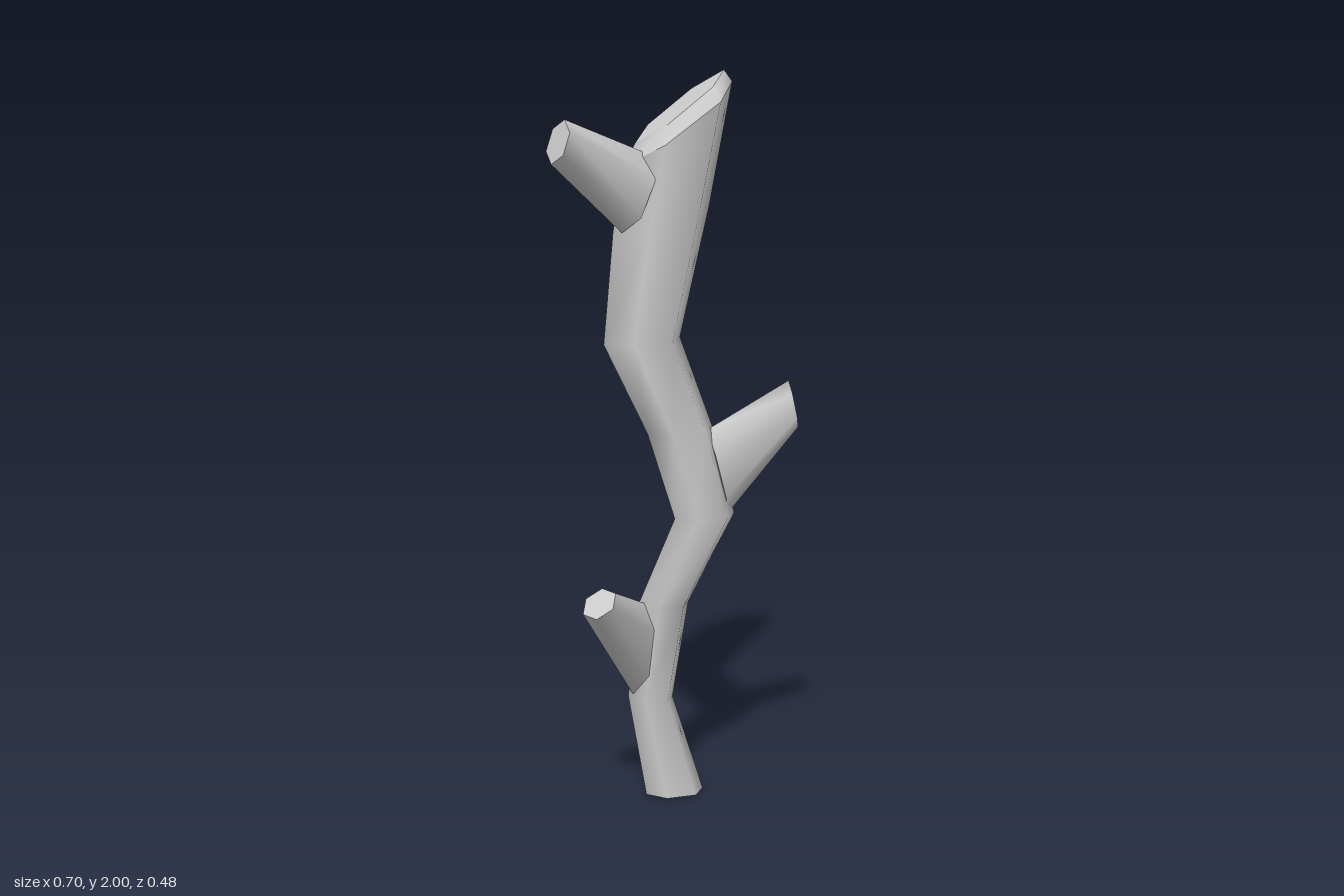
import * as THREE from 'three';

const SIDES = 6;
const V = (a) => new THREE.Vector3(...a);
const material = new THREE.MeshStandardMaterial({ color: 0xcccccc });

// Hexagonal ring; u and v are the half-extent vectors of the section
function ring(center, u, v) {
  return Array.from({ length: SIDES }, (_, i) => {
    const a = (i / SIDES) * Math.PI * 2;
    return center.clone()
      .addScaledVector(u, Math.cos(a))
      .addScaledVector(v, Math.sin(a) / Math.sin(Math.PI / 3));
  });
}

// Smooth skin through rings running counter-clockwise about the growth direction
function skin(rings) {
  const index = [];
  for (let r = 0; r < rings.length - 1; r++) {
    for (let i = 0; i < SIDES; i++) {
      const a = r * SIDES + i, b = r * SIDES + ((i + 1) % SIDES);
      index.push(a, b, b + SIDES, a, b + SIDES, a + SIDES);
    }
  }
  const geo = new THREE.BufferGeometry().setFromPoints(rings.flat());
  geo.setIndex(index);
  geo.computeVertexNormals();
  return geo;
}

// Flat end with a sharp edge
function cap(points, flip) {
  const index = [];
  for (let i = 1; i < SIDES - 1; i++) index.push(0, flip ? i + 1 : i, flip ? i : i + 1);
  const geo = new THREE.BufferGeometry().setFromPoints(points);
  geo.setIndex(index);
  geo.computeVertexNormals();
  return geo;
}

function limb(name, rings) {
  const group = new THREE.Group();
  group.name = name;
  const add = (part, geo) => {
    const mesh = new THREE.Mesh(geo, material);
    mesh.name = part;
    group.add(mesh);
  };
  add(name + 'Bark', skin(rings));
  add(name + 'Base', cap(rings[0], true));
  add(name + 'End', cap(rings[rings.length - 1], false));
  return group;
}

// Trunk section from its left and right corners and its depth range
function trunkRing([x0, y0, x1, y1, z0, z1]) {
  const center = V([(x0 + x1) / 2, (y0 + y1) / 2, (z0 + z1) / 2]);
  return ring(center, V([(x1 - x0) / 2, (y1 - y0) / 2, 0]), V([0, 0, -(z1 - z0) / 2]));
}

// Tapering stub: each end is [upper point, lower point, half width]
function stub(name, base, tip) {
  const mid = ([top, bottom]) => V(top).add(V(bottom)).multiplyScalar(0.5);
  const dir = mid(tip).sub(mid(base)).normalize();
  const rings = [base, tip].map((end) => {
    const u = V(end[0]).sub(V(end[1])).multiplyScalar(0.5);
    const v = dir.clone().cross(u).setLength(end[2]);
    return ring(mid(end), u, v);
  });
  return limb(name, rings);
}

export function createModel() {
  const model = new THREE.Group();
  model.name = 'branch';

  // Crooked main stem, broken off at a slant
  const sections = [
    [-0.055, 0.01, 0.12, 0.0, 0.0, 0.09],
    [-0.10, 0.30, 0.035, 0.28, -0.02, 0.065],
    [-0.08, 0.57, 0.07, 0.56, 0.0, 0.10],
    [0.01, 0.81, 0.19, 0.81, 0.04, 0.14],
    [-0.07, 1.05, 0.12, 1.06, 0.03, 0.15],
    [-0.18, 1.29, 0.04, 1.30, -0.02, 0.13],
    [-0.14, 1.58, 0.14, 1.65, -0.06, 0.11],
    [-0.12, 1.75, 0.195, 1.97, -0.05, 0.138],
  ];
  const stem = sections.map(trunkRing);
  model.add(limb('stem', stem));

  // Shallow bevelled break on top of the stem
  const crown = limb('brokenTop', [
    stem[stem.length - 1],
    trunkRing([-0.085, 1.81, 0.17, 2.0, -0.02, 0.11]),
  ]);
  model.add(crown);

  // Four snapped side twigs
  model.add(stub('lowerTwig',
    [[-0.06, 0.57, 0.055], [-0.085, 0.30, 0.03], 0.042],
    [[-0.215, 0.66, 0.215], [-0.295, 0.605, 0.185], 0.036]));
  model.add(stub('leftTwig',
    [[0.10, 1.05, 0.10], [0.17, 0.81, 0.09], 0.045],
    [[0.315, 1.18, 0.16], [0.345, 1.05, 0.163], 0.02]));
  model.add(stub('backTwig',
    [[0.06, 1.08, 0.06], [0.10, 0.82, 0.06], 0.07],
    [[0.07, 1.16, -0.12], [0.09, 1.13, -0.242], 0.042]));
  model.add(stub('upperTwig',
    [[-0.05, 1.78, 0.07], [-0.125, 1.58, 0.05], 0.055],
    [[-0.315, 1.87, 0.14], [-0.35, 1.76, 0.135], 0.038]));

  return model;
}
